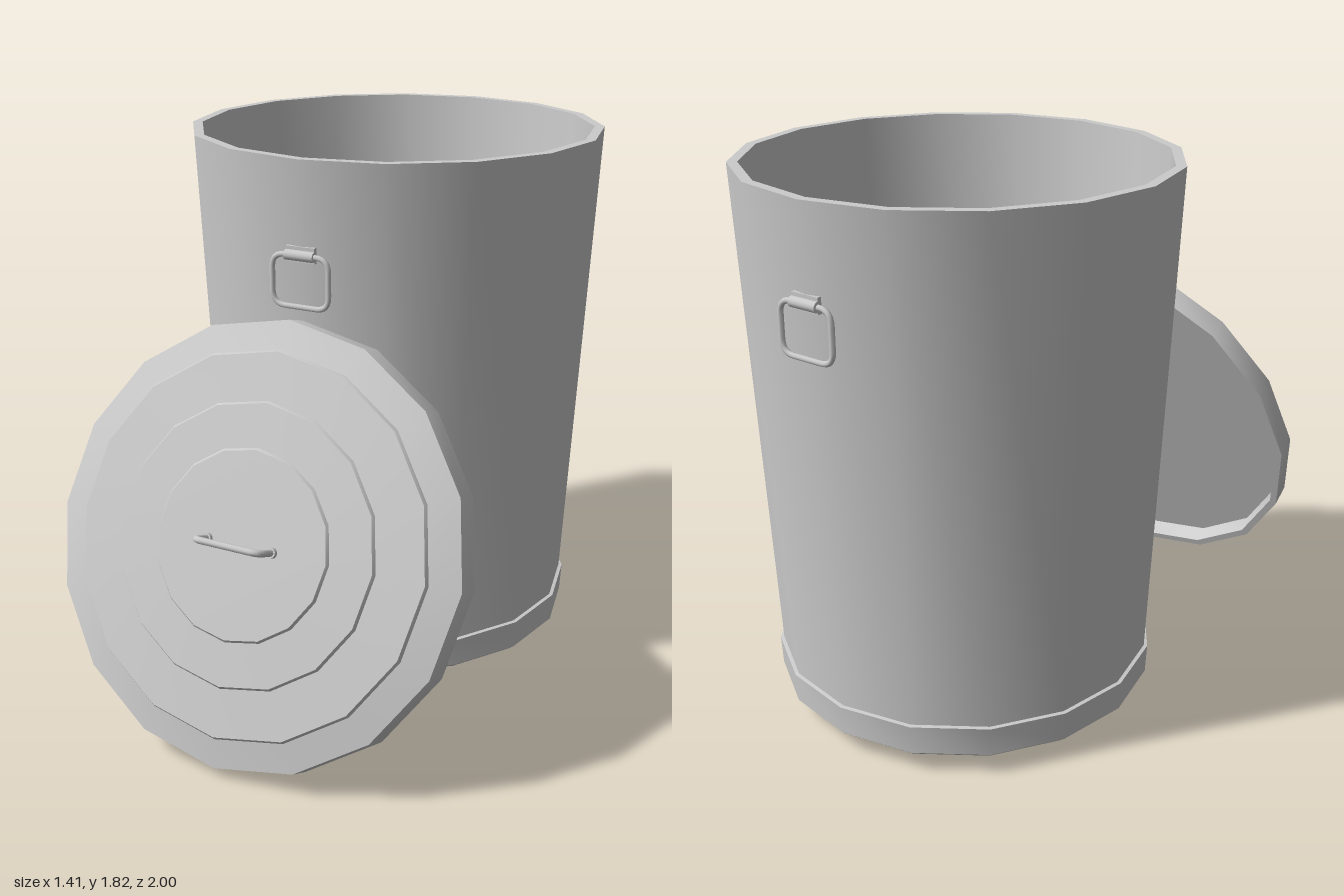
import * as THREE from 'three';
import { toCreasedNormals } from 'three/addons/utils/BufferGeometryUtils.js';

const metal = new THREE.MeshStandardMaterial({ color: 0xcccccc });

function add(parent, name, geometry) {
  const mesh = new THREE.Mesh(geometry, metal);
  mesh.name = name;
  parent.add(mesh);
  return mesh;
}

// Sixteen-sided turned body, smooth around, crisp at profile edges
function turned(profile) {
  const points = profile.map(([r, y]) => new THREE.Vector2(r, y));
  return toCreasedNormals(new THREE.LatheGeometry(points, 16), 0.45);
}

// Wire bent along a polyline in the xy plane with rounded corners
function bentWire(corners, bend, radius, closed) {
  const pts = corners.map(([x, y]) => new THREE.Vector3(x, y, 0));
  const n = pts.length;
  const toward = (a, b) => a.clone().add(b.clone().sub(a).setLength(bend));
  const path = new THREE.CurvePath();
  let pen = closed ? toward(pts[0], pts[1]) : pts[0];
  for (let i = 1; i <= (closed ? n : n - 2); i++) {
    const p = pts[i % n];
    const enter = toward(p, pts[(i - 1) % n]);
    const leave = toward(p, pts[(i + 1) % n]);
    path.add(new THREE.LineCurve3(pen, enter));
    path.add(new THREE.QuadraticBezierCurve3(enter, p, leave));
    pen = leave;
  }
  if (!closed) path.add(new THREE.LineCurve3(pen, pts[n - 1]));
  return new THREE.TubeGeometry(path, 64, radius, 8, closed);
}

// Hanging ring with its hinge bracket
function createSideHandle(name) {
  const handle = new THREE.Group();
  handle.name = name;
  const w = 0.098, low = 1.358, high = 1.522;
  const ring = bentWire([[-w, low], [w, low], [w, high], [-w, high]], 0.045, 0.009, true);
  add(handle, 'ring', ring).position.z = 0.692;

  const hinge = add(handle, 'hinge', new THREE.CylinderGeometry(0.017, 0.017, 0.1, 12));
  hinge.rotation.z = Math.PI / 2;
  hinge.position.set(0, high, 0.692);

  const plate = add(handle, 'hingePlate', new THREE.BoxGeometry(0.1, 0.05, 0.02));
  plate.position.set(0, 1.525, 0.682);
  return handle;
}

function createCan() {
  const can = new THREE.Group();
  can.name = 'can';
  can.position.z = -0.292;

  add(can, 'body', turned([
    [0, 0.055], [0.615, 0.055], [0.635, 0.072], [0.64, 0.17], [0.628, 0.172],
    [0.7, 1.82], [0.667, 1.82], [0.582, 0.11], [0, 0.11],
  ]));

  const front = createSideHandle('frontHandle');
  const back = createSideHandle('backHandle');
  back.rotation.y = Math.PI;
  can.add(front, back);
  return can;
}

function createLid() {
  const lid = new THREE.Group();
  lid.name = 'lid';

  // Hollow rim below, stepped dome above
  add(lid, 'cover', turned([
    [0, 0.06], [0.672, 0.06], [0.682, 0], [0.707, 0], [0.7, 0.085],
    [0.605, 0.11], [0.598, 0.121],
    [0.445, 0.131], [0.438, 0.141],
    [0.3, 0.147], [0.293, 0.156],
    [0, 0.16],
  ]));

  // Grip with a small foot at each end
  add(lid, 'grip', bentWire([[-0.113, 0.15], [-0.113, 0.243], [0.113, 0.243], [0.113, 0.15]], 0.03, 0.011, false));
  for (const x of [-0.113, 0.113]) {
    add(lid, 'gripFoot', new THREE.CylinderGeometry(0.016, 0.018, 0.016, 10)).position.set(x, 0.162, 0);
  }

  // Leans against the front of the can
  lid.position.set(0, 0.657, 0.655);
  lid.rotation.x = 1.187;
  return lid;
}

export function createModel() {
  const model = new THREE.Group();
  model.name = 'trashCan';
  model.add(createCan(), createLid());
  return model;
}
